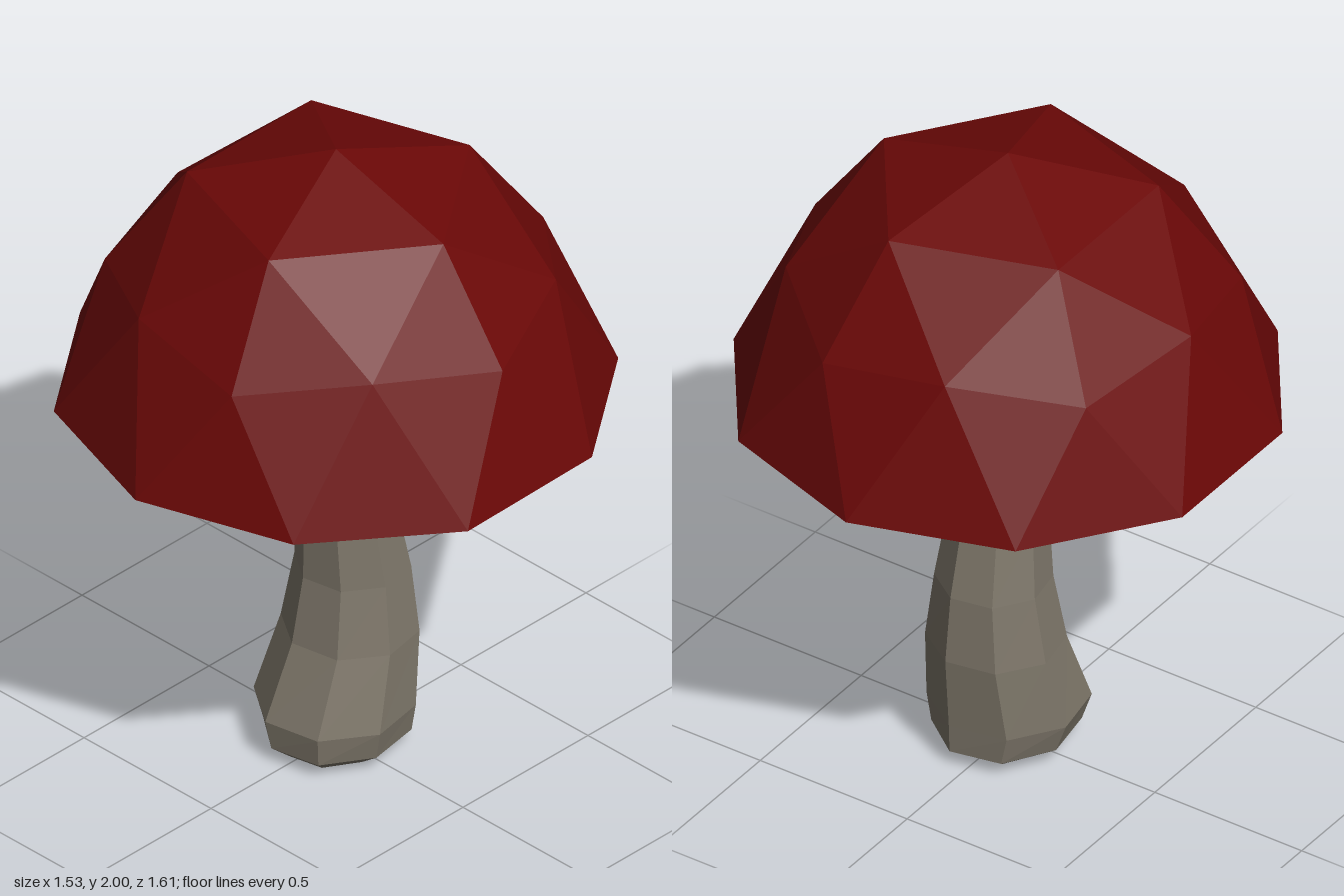
import * as THREE from 'three';

const DEG = Math.PI / 180;

// Flat-shaded mesh from a list of corner points, three per face
function facetedMesh(name, corners, color) {
  const geometry = new THREE.BufferGeometry().setFromPoints(corners);
  geometry.computeVertexNormals();
  const material = new THREE.MeshStandardMaterial({ color, flatShading: true });
  const mesh = new THREE.Mesh(geometry, material);
  mesh.name = name;
  return mesh;
}

const polar = (r, deg, y) => new THREE.Vector3(r * Math.cos(deg * DEG), y, r * Math.sin(deg * DEG));

// Ten-sided rim, with one corner sagging slightly
function rim(deg) {
  const a = (deg + 360) % 360;
  return polar(0.803, a, a === 18 ? 1.188 : 1.198);
}

// Half icosphere in five equal sectors; each ring is [radius, height]
function dome(top, inner, corner, middle, turn, facesUp) {
  const out = [];
  const face = (a, b, c) => (facesUp ? out.push(a, c, b) : out.push(a, b, c));
  const pole = new THREE.Vector3(0, top, 0);
  for (let k = 0; k < 5; k++) {
    const a = turn + 72 * k, b = a + 72;
    const A = polar(inner[0], a, inner[1]), B = polar(inner[0], b, inner[1]);
    const U = polar(corner[0], a, corner[1]), V = polar(corner[0], b, corner[1]);
    const M = polar(middle[0], a + 36, middle[1]);
    const E0 = rim(a - 18), E1 = rim(a + 18), E2 = rim(a + 54);
    face(pole, A, B);
    face(A, M, B);
    face(A, U, M);
    face(B, M, V);
    face(U, E0, E1);
    face(U, E1, M);
    face(M, E1, E2);
    face(M, E2, V);
  }
  return out;
}

// Bent eight-sided stem; each ring is [y, xMin, xMax, zMin, zMax]
function stemCorners() {
  const rings = [
    [0, -0.13, 0.14, -0.15, 0.16],
    [0.05, -0.195, 0.205, -0.22, 0.22],
    [0.14, -0.227, 0.224, -0.225, 0.232],
    [0.37, -0.19, 0.203, -0.24, 0.14],
    [0.58, -0.155, 0.172, -0.222, 0.105],
    [0.79, -0.13, 0.147, -0.177, 0.105],
    [0.95, -0.105, 0.133, -0.153, 0.08],
    [1.09, -0.09, 0.132, -0.113, 0.11],
    [1.3, -0.085, 0.122, -0.105, 0.1],
  ];
  const sides = 8;
  const point = ([y, x0, x1, z0, z1], i) => {
    const a = (33 + 45 * i) * DEG, s = 0.5 / 0.976;
    return new THREE.Vector3((x0 + x1) / 2 + (x1 - x0) * s * Math.sin(a), y, (z0 + z1) / 2 + (z1 - z0) * s * Math.cos(a));
  };
  const centre = ([y, x0, x1, z0, z1]) => new THREE.Vector3((x0 + x1) / 2, y, (z0 + z1) / 2);
  const out = [];
  const first = rings[0], last = rings[rings.length - 1];
  for (let i = 0; i < sides; i++) {
    for (let r = 0; r < rings.length - 1; r++) {
      const a = point(rings[r], i), b = point(rings[r], i + 1);
      const c = point(rings[r + 1], i + 1), d = point(rings[r + 1], i);
      out.push(a, b, c, a, c, d);
    }
    out.push(centre(first), point(first, i + 1), point(first, i));
    out.push(centre(last), point(last, i), point(last, i + 1));
  }
  return out;
}

export function createModel() {
  const mushroom = new THREE.Group();
  mushroom.name = 'mushroom';

  // Domed cap with a very shallow hollow underside
  const cap = new THREE.Group();
  cap.name = 'cap';
  cap.add(
    facetedMesh('capTop', dome(2, [0.423, 1.88], [0.656, 1.56], [0.624, 1.62], 0, true), 0x6b0807),
    facetedMesh('capUnderside', dome(1.28, [0.42, 1.268], [0.655, 1.234], [0.62, 1.24], 36, false), 0x6b0807),
  );

  mushroom.add(cap, facetedMesh('stem', stemCorners(), 0x7e776a));
  return mushroom;
}
